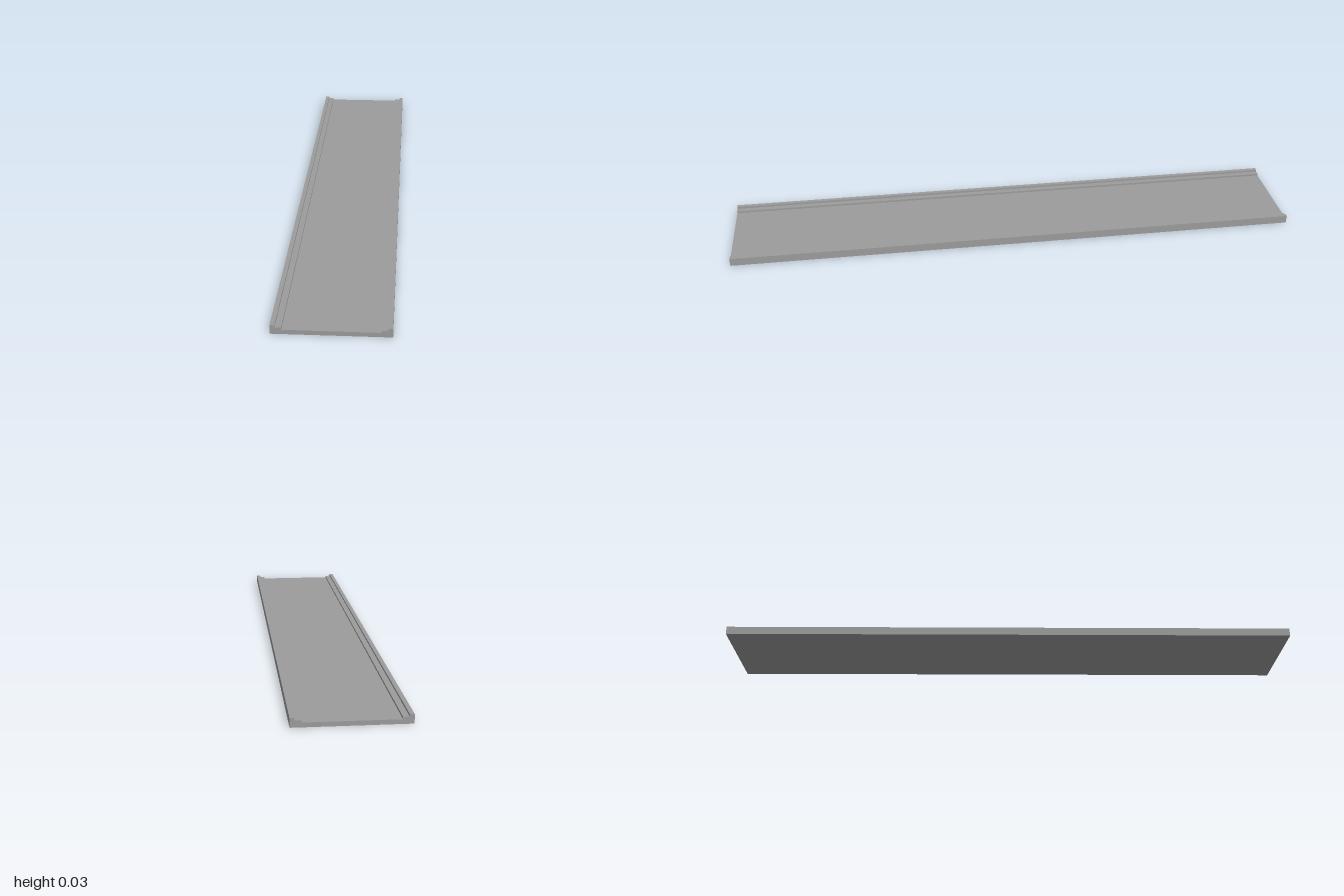
import * as THREE from 'three';

export function createModel() {
  const group = new THREE.Group();
  const material = new THREE.MeshStandardMaterial({ color: 0x9c9c9c, flatShading: true });

  // Right half of the channel section, from the base up over the stepped rim
  const half = [[0.175, 0], [0.175, 0.028], [0.161, 0.028], [0.161, 0.021], [0.142, 0.021], [0.142, 0.014]];
  const mirrored = half.map(([x, y]) => [-x, y]).reverse();
  const section = new THREE.Shape([...half, ...mirrored].map(([x, y]) => new THREE.Vector2(x, y)));

  // Run the section along the full length
  const length = 2;
  const geometry = new THREE.ExtrudeGeometry(section, { depth: length, bevelEnabled: false });
  geometry.translate(0, 0, -length / 2);

  const channel = new THREE.Mesh(geometry, material);
  channel.name = 'steppedChannelPlank';
  group.add(channel);
  return group;
}
